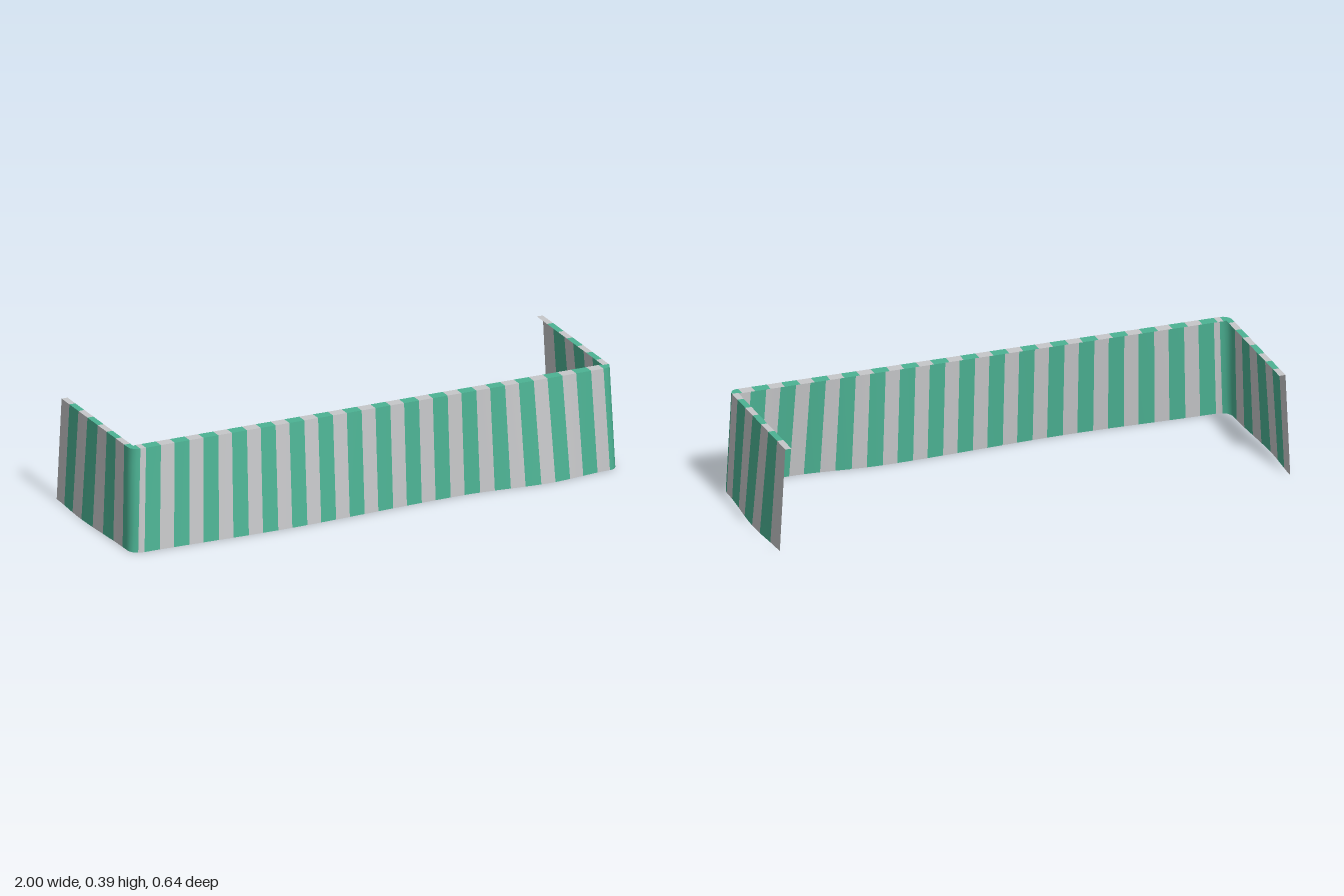
import * as THREE from 'three';

// Plan of the top edge: left-hand wing, rounded corner, long front, rounded corner, other wing
const R = 0.035, X0 = -0.978, X1 = 0.96, ZF = 0.278, ZB = -0.305;
const WING = ZF - R - ZB, ARC = R * Math.PI / 2, FRONT = X1 - X0 - 2 * R;
const atNegWing = z => z - ZB;
const atFront = x => WING + ARC + x - (X0 + R);
const atPosWing = z => WING + 2 * ARC + FRONT + (ZF - R - z);
const TOTAL = atPosWing(ZB);
const TOP = 0.395, BOTTOM = 0.003;

// Position and outward normal at distance s along the top edge
function edge(s) {
  if (s <= WING) return { x: X0, z: ZB + s, nx: -1, nz: 0 };
  s -= WING;
  if (s <= ARC) {
    const a = s / R;
    return { x: X0 + R - R * Math.cos(a), z: ZF - R + R * Math.sin(a), nx: -Math.cos(a), nz: Math.sin(a) };
  }
  s -= ARC;
  if (s <= FRONT) return { x: X0 + R + s, z: ZF, nx: 0, nz: 1 };
  s -= FRONT;
  if (s <= ARC) {
    const a = s / R;
    return { x: X1 - R + R * Math.sin(a), z: ZF - R + R * Math.cos(a), nx: Math.sin(a), nz: Math.cos(a) };
  }
  return { x: X1, z: ZF - R - (s - ARC), nx: 1, nz: 0 };
}

// Gentle waves of the bottom edge: [distance, outward push]
const WAVES = [
  [0, -0.007], [atNegWing(-0.1), 0.002], [WING, -0.01], [atFront(-0.92), 0.016],
  [atFront(-0.4), 0.028], [atFront(0.35), 0], [atFront(0.68), 0.025],
  [atFront(0.92), 0.002], [atPosWing(0.24), -0.004], [atPosWing(-0.08), 0.016], [TOTAL, 0.006],
];
function wave(s) {
  let i = 0;
  while (i < WAVES.length - 2 && s > WAVES[i + 1][0]) i++;
  const [a, va] = WAVES[i], [b, vb] = WAVES[i + 1];
  return va + (vb - va) * THREE.MathUtils.smoothstep(s, a, b);
}

// Stripe boundaries; stripes alternate starting with grey
const cuts = [0];
[-0.24, -0.165, -0.09, -0.005, 0.07, 0.145, 0.215].forEach(z => cuts.push(atNegWing(z)));
cuts.push(atFront(-0.955 + 0.012));
for (let k = -1; k <= 14; k++) {
  const x = -0.805 + 0.1155 * k;
  cuts.push(atFront(x), atFront(x + 0.06));
}
cuts.push(atFront(0.922));
[0.245, 0.185, 0.105, 0.03, -0.057, -0.13, -0.22].forEach(z => cuts.push(atPosWing(Math.min(z, ZF - R))));
cuts.push(TOTAL);

// Sheet swept along the edge; profile(s, t) gives a point for t from 0 to 1
function stripedSheet(profile, rows) {
  const stations = [], stripeOf = [];
  for (let i = 0; i < cuts.length - 1; i++) {
    const n = 6;
    for (let j = 0; j < n; j++) {
      stations.push(cuts[i] + (cuts[i + 1] - cuts[i]) * j / n);
      stripeOf.push(i % 2);
    }
  }
  stations.push(TOTAL);
  const pos = [], index = [], geo = new THREE.BufferGeometry();
  for (const s of stations) for (let r = 0; r <= rows; r++) pos.push(...profile(s, r / rows));
  let runStart = 0;
  for (let i = 0; i < stripeOf.length; i++) {
    for (let r = 0; r < rows; r++) {
      const a = i * (rows + 1) + r, d = a + rows + 1;
      index.push(a, a + 1, d, a + 1, d + 1, d);
    }
    if (stripeOf[i + 1] !== stripeOf[i]) {
      geo.addGroup(runStart, index.length - runStart, stripeOf[i]);
      runStart = index.length;
    }
  }
  geo.setAttribute('position', new THREE.Float32BufferAttribute(pos, 3));
  geo.setIndex(index);
  geo.computeVertexNormals();
  return geo;
}

// Hanging cloth, flaring outwards towards the bottom
function cloth(s, t) {
  const e = edge(s), push = wave(s) * t;
  return [
    e.x * (1 + 0.021 * t) + e.nx * push,
    TOP + (BOTTOM - TOP) * t,
    e.z * (1 + 0.042 * t) + e.nz * push,
  ];
}

// Narrow flat hem folded inwards along the top
function hem(s, t) {
  const e = edge(s), k = 1 - t;
  return [e.x - e.nx * 0.024 * k, TOP, e.z - e.nz * 0.042 * k];
}

export function createModel() {
  const grey = new THREE.MeshStandardMaterial({ color: 0xc6c7c9, side: THREE.DoubleSide });
  grey.name = 'pale grey cloth';
  const green = new THREE.MeshStandardMaterial({ color: 0x4cb394, side: THREE.DoubleSide });
  green.name = 'green cloth';
  const group = new THREE.Group();
  group.name = 'stripedValance';
  const skirt = new THREE.Mesh(stripedSheet(cloth, 6), [grey, green]);
  skirt.name = 'hangingCloth';
  const fold = new THREE.Mesh(stripedSheet(hem, 1), [grey, green]);
  fold.name = 'topHem';
  group.add(skirt, fold);
  return group;
}
